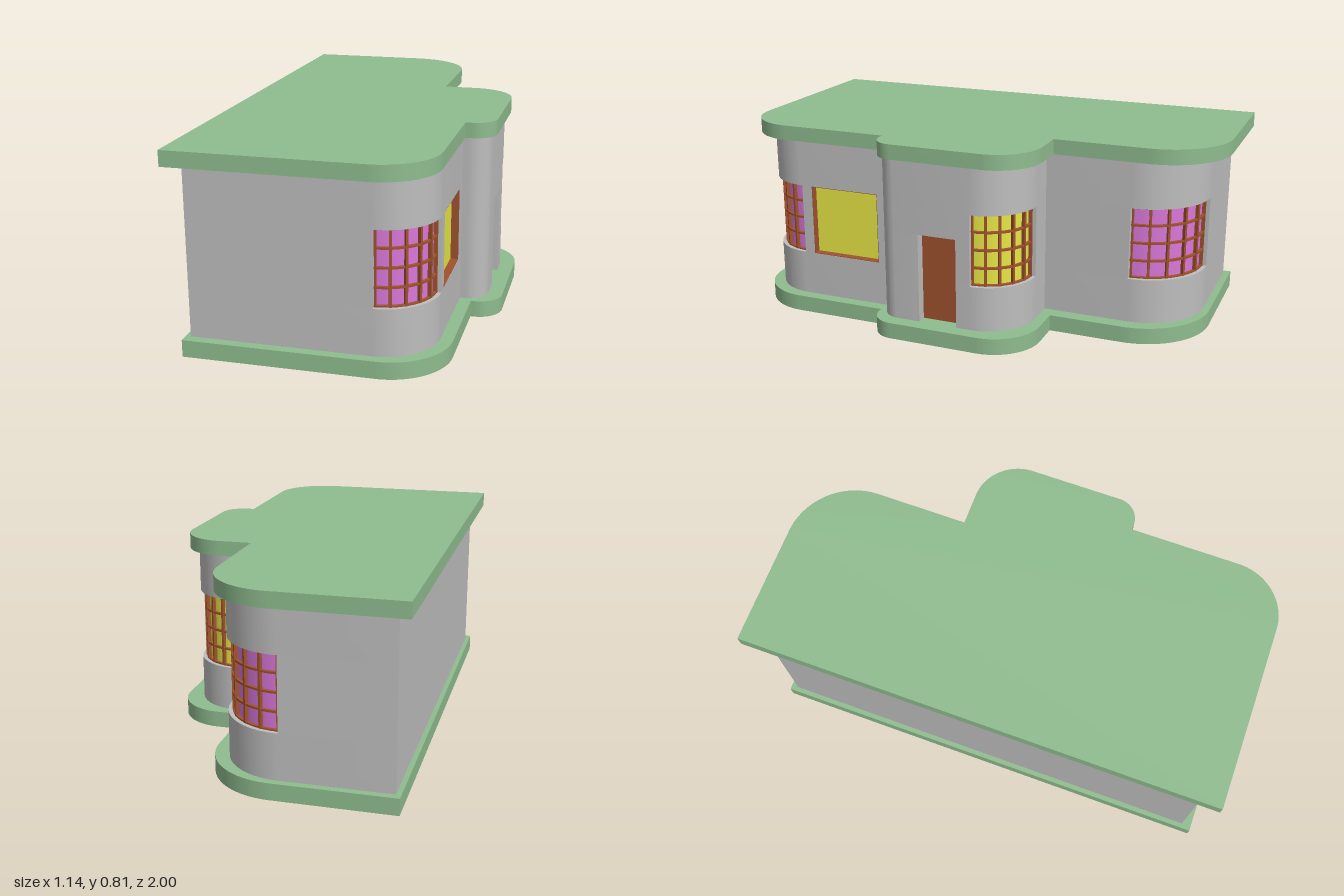
import * as THREE from 'three';
import { toCreasedNormals } from 'three/addons/utils/BufferGeometryUtils.js';

const material = (name, color) => {
  const m = new THREE.MeshStandardMaterial({ color });
  m.name = name;
  return m;
};

const HALF_PI = Math.PI / 2;
const SILL = 0.255, HEAD = 0.555, DOOR_TOP = 0.445, WALL_BASE = 0.068, WALL_TOP = 0.75;

// Plan sizes: x of the straight left side and of each stepped front, z limits, corner radii
const PLANS = {
  base: { x0: -0.535, front: 0.97, back: -0.95, xFront: 0.455, rFront: 0.24, xBay: 0.57, bayFront: 0.335, bayBack: -0.345, rBayFront: 0.1, rBayBack: 0.2, xBack: 0.25, rBack: 0.3 },
  wall: { x0: -0.515, front: 0.93, back: -0.92, xFront: 0.405, rFront: 0.21, xBay: 0.51, bayFront: 0.31, bayBack: -0.3, rBayFront: 0.08, rBayBack: 0.205, xBack: 0.19, rBack: 0.265 },
  roof: { x0: -0.57, front: 1, back: -1, xFront: 0.415, rFront: 0.22, xBay: 0.53, bayFront: 0.325, bayBack: -0.335, rBayFront: 0.09, rBayBack: 0.185, xBack: 0.21, rBack: 0.28 },
};
const PICTURE = { z1: 0.675, z2: 0.365, depth: 0.04 };
const DOOR = { z1: 0.13, z2: -0.035, depth: 0.05 };

// Stepped outline (shape y = -z); recess insets the window corners, niches cut the flat fronts
function outline(p, recess = 0, pictureNiche = false, doorNiche = false) {
  const s = new THREE.Shape();
  const niche = (x, n) => {
    s.lineTo(x, -n.z1);
    s.lineTo(x - n.depth, -n.z1);
    s.lineTo(x - n.depth, -n.z2);
    s.lineTo(x, -n.z2);
  };
  s.moveTo(p.x0, -p.front);
  s.lineTo(p.xFront - p.rFront, -p.front);
  s.absarc(p.xFront - p.rFront, -p.front + p.rFront, p.rFront - recess, -HALF_PI, 0, false);
  s.lineTo(p.xFront, -p.front + p.rFront);
  if (pictureNiche) niche(p.xFront, PICTURE);
  s.lineTo(p.xFront, -p.bayFront);
  s.lineTo(p.xBay - p.rBayFront, -p.bayFront);
  s.absarc(p.xBay - p.rBayFront, -p.bayFront + p.rBayFront, p.rBayFront, -HALF_PI, 0, false);
  if (doorNiche) niche(p.xBay, DOOR);
  s.lineTo(p.xBay, -p.bayBack - p.rBayBack);
  s.absarc(p.xBay - p.rBayBack, -p.bayBack - p.rBayBack, p.rBayBack - recess, 0, HALF_PI, false);
  s.lineTo(p.xBay - p.rBayBack, -p.bayBack);
  s.lineTo(p.xBack, -p.bayBack);
  s.lineTo(p.xBack, -p.back - p.rBack);
  s.absarc(p.xBack - p.rBack, -p.back - p.rBack, p.rBack - recess, 0, HALF_PI, false);
  s.lineTo(p.xBack - p.rBack, -p.back);
  s.lineTo(p.x0, -p.back);
  s.closePath();
  return s;
}

// Upright slab from a plan shape
function slab(shape, y0, y1) {
  const g = new THREE.ExtrudeGeometry(shape, { depth: y1 - y0, bevelEnabled: false, curveSegments: 20 });
  g.rotateX(-HALF_PI);
  g.translate(0, y0, 0);
  return toCreasedNormals(g, 0.5);
}

export function createModel() {
  const green = material('sage green', 0x8fbc8f);
  const grey = material('wall grey', 0xbebebe);
  const brown = material('wood brown', 0xa0522d);
  const pink = material('pink glass', 0xda78da);
  const yellow = material('yellow glass', 0xeeee48);

  const model = new THREE.Group();
  model.name = 'building';
  const add = (parent, name, geometry, mat) => {
    const mesh = new THREE.Mesh(geometry, mat);
    mesh.name = name;
    parent.add(mesh);
    return mesh;
  };
  const box = (parent, name, mat, size, pos) =>
    add(parent, name, new THREE.BoxGeometry(...size), mat).position.set(...pos);

  add(model, 'basePlinth', slab(outline(PLANS.base), 0, WALL_BASE), green);
  add(model, 'roofSlab', slab(outline(PLANS.roof), WALL_TOP, 0.812), green);

  // Walls in courses, each with the openings that cross it
  const w = PLANS.wall;
  const walls = new THREE.Group();
  walls.name = 'walls';
  model.add(walls);
  add(walls, 'lowerWall', slab(outline(w, 0, false, true), WALL_BASE, SILL), grey);
  add(walls, 'windowWall', slab(outline(w, 0.04, true, true), SILL, DOOR_TOP), grey);
  add(walls, 'lintelWall', slab(outline(w, 0.04, true, false), DOOR_TOP, HEAD), grey);
  add(walls, 'upperWall', slab(outline(w), HEAD, WALL_TOP), grey);

  // Curved corner windows: a quarter cylinder of glass with a grid of bars
  function cornerWindow(name, glass, cx, cz, wallRadius, startAngle) {
    const g = new THREE.Group();
    g.name = name;
    g.position.set(cx, 0, cz);
    model.add(g);
    const inner = wallRadius - 0.03, outer = wallRadius - 0.015, height = HEAD - SILL;
    const pane = new THREE.CylinderGeometry(inner, inner, height, 20, 1, true, startAngle, HALF_PI);
    pane.translate(0, SILL + height / 2, 0);
    add(g, 'curvedGlass', pane, glass);
    for (let i = 0; i <= 5; i++) {
      const a = startAngle + THREE.MathUtils.clamp(i / 5, 0.015, 0.985) * HALF_PI;
      const r = (inner + outer) / 2;
      const bar = add(g, 'verticalBar', new THREE.BoxGeometry(i % 5 ? 0.01 : 0.006, height, outer - inner), brown);
      bar.position.set(Math.sin(a) * r, SILL + height / 2, Math.cos(a) * r);
      bar.rotation.y = a;
    }
    const a0 = startAngle - HALF_PI, a1 = startAngle;
    const ring = new THREE.Shape();
    ring.absarc(0, 0, outer - 0.002, a0, a1, false);
    ring.absarc(0, 0, inner - 0.002, a1, a0, true);
    ring.closePath();
    for (let j = 0; j <= 4; j++) {
      const half = j % 4 ? 0.004 : 0.003;
      const y = THREE.MathUtils.clamp(SILL + (height * j) / 4, SILL + half, HEAD - half);
      add(g, 'horizontalBar', slab(ring, y - half, y + half), brown);
    }
  }
  cornerWindow('frontCornerWindow', pink, w.xFront - w.rFront, w.front - w.rFront, w.rFront, 0);
  cornerWindow('bayCornerWindow', yellow, w.xBay - w.rBayBack, w.bayBack + w.rBayBack, w.rBayBack, HALF_PI);
  cornerWindow('backCornerWindow', pink, w.xBack - w.rBack, w.back + w.rBack, w.rBack, HALF_PI);

  // Flat window with a thin wooden lining
  const flat = new THREE.Group();
  flat.name = 'flatWindow';
  model.add(flat);
  const { z1, z2, depth } = PICTURE;
  const midZ = (z1 + z2) / 2, midY = (SILL + HEAD) / 2, x = w.xFront - depth / 2;
  box(flat, 'flatGlass', yellow, [0.008, HEAD - SILL, z1 - z2], [w.xFront - depth + 0.004, midY, midZ]);
  for (const z of [z1 - 0.001, z2 + 0.001]) box(flat, 'sideLining', brown, [depth - 0.002, HEAD - SILL, 0.003], [x, midY, z]);
  for (const y of [SILL + 0.001, HEAD - 0.001]) box(flat, 'edgeLining', brown, [depth - 0.002, 0.003, z1 - z2], [x, y, midZ]);

  // Recessed door
  box(model, 'door', brown, [0.008, DOOR_TOP - WALL_BASE, DOOR.z1 - DOOR.z2],
    [w.xBay - DOOR.depth + 0.004, (DOOR_TOP + WALL_BASE) / 2, (DOOR.z1 + DOOR.z2) / 2]);

  return model;
}
